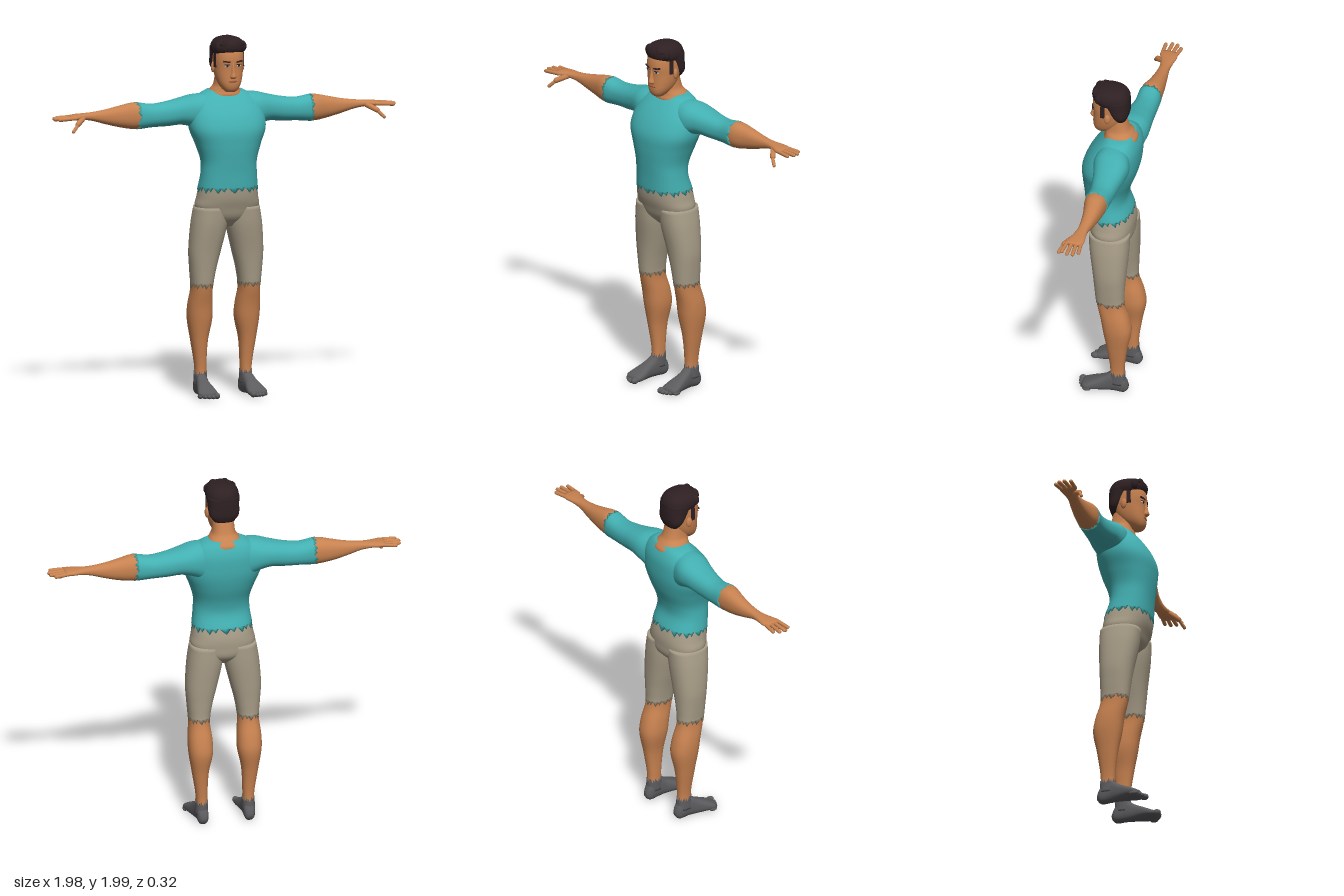
import * as THREE from 'three';

const mat = (name, color) => {
  const m = new THREE.MeshStandardMaterial({ color });
  m.name = name;
  return m;
};

// Cubic interpolation of the rows [t, aMin, aMax, bMin, bMax] at t
function sample(rows, t) {
  let i = 0;
  while (i < rows.length - 2 && t > rows[i + 1][0]) i++;
  const p = rows[i], q = rows[i + 1], h = q[0] - p[0];
  const u = Math.min(1, Math.max(0, (t - p[0]) / h));
  const slope = (k, c) => {
    const a = rows[Math.max(0, k - 1)], b = rows[Math.min(rows.length - 1, k + 1)];
    return (b[c] - a[c]) / (b[0] - a[0]);
  };
  return [1, 2, 3, 4].map((c) => {
    const u2 = u * u, u3 = u2 * u;
    return p[c] * (2 * u3 - 3 * u2 + 1) + q[c] * (3 * u2 - 2 * u3)
      + h * (slope(i, c) * (u3 - 2 * u2 + u) + slope(i + 1, c) * (u3 - u2));
  });
}

// Position of (t, a, b) for each loft axis
const place = {
  x: (t, a, b) => [t, b, a],
  y: (t, a, b) => [a, t, b],
  z: (t, a, b) => [b, a, t],
};

// Smooth closed loft through superellipse sections; teeth make ragged cloth edges
function loft(axis, rows, { from = rows[0][0], to = rows.at(-1)[0], steps = 24, seg = 40,
  power = 2.3, grow = 0, teethLow = 0, teethHigh = 0 } = {}) {
  const pos = [], idx = [];
  const round = (v) => Math.sign(v) * Math.abs(v) ** (2 / power);
  for (let i = 0; i <= steps; i++) {
    for (let j = 0; j < seg; j++) {
      let t = from + (to - from) * i / steps;
      const tooth = ((j * 7) % 5) / 4 - 0.5;
      if (i === 0) t += teethLow * tooth;
      if (i === steps) t += teethHigh * tooth;
      const [a0, a1, b0, b1] = sample(rows, t), th = j / seg * Math.PI * 2;
      const a = (a0 + a1) / 2 + ((a1 - a0) / 2 + grow) * round(Math.cos(th));
      const b = (b0 + b1) / 2 + ((b1 - b0) / 2 + grow) * round(Math.sin(th));
      pos.push(...place[axis](t, a, b));
      if (i < steps) {
        const k = i * seg, n = (j + 1) % seg;
        idx.push(k + j, k + seg + j, k + seg + n, k + j, k + seg + n, k + n);
      }
    }
  }
  for (const [t, k, flip] of [[from, 0, false], [to, steps * seg, true]]) {
    const [a0, a1, b0, b1] = sample(rows, t), c = pos.length / 3;
    pos.push(...place[axis](t, (a0 + a1) / 2, (b0 + b1) / 2));
    for (let j = 0; j < seg; j++) {
      const p = k + j, n = k + (j + 1) % seg;
      idx.push(c, flip ? n : p, flip ? p : n);
    }
  }
  const g = new THREE.BufferGeometry();
  g.setAttribute('position', new THREE.Float32BufferAttribute(pos, 3));
  g.setIndex(idx);
  g.computeVertexNormals();
  return g;
}

function mirrored(geo) {
  const g = geo.clone().scale(-1, 1, 1), ix = g.index.array;
  for (let i = 0; i < ix.length; i += 3) [ix[i], ix[i + 1]] = [ix[i + 1], ix[i]];
  g.computeVertexNormals();
  return g;
}

const blob = (x, y, z, rx, ry, rz, turn = 0) =>
  new THREE.SphereGeometry(1, 18, 12).scale(rx, ry, rz).rotateY(turn).translate(x, y, z);

// Rounded rod between two points
function rod(p, q, r) {
  const a = new THREE.Vector3(...p), b = new THREE.Vector3(...q), d = b.clone().sub(a);
  const turn = new THREE.Quaternion().setFromUnitVectors(new THREE.Vector3(0, 1, 0), d.clone().normalize());
  return new THREE.CapsuleGeometry(r, d.length(), 5, 12).applyQuaternion(turn)
    .translate(...a.add(b).multiplyScalar(0.5).toArray());
}

const TORSO = [
  [0.94, -0.03, 0.03, -0.07, 0.04], [0.99, -0.14, 0.14, -0.118, 0.088],
  [1.05, -0.18, 0.18, -0.126, 0.11], [1.1, -0.172, 0.172, -0.126, 0.126],
  [1.16, -0.163, 0.163, -0.112, 0.133], [1.24, -0.153, 0.153, -0.087, 0.138],
  [1.31, -0.153, 0.153, -0.097, 0.145], [1.4, -0.18, 0.18, -0.13, 0.153],
  [1.48, -0.21, 0.21, -0.15, 0.152], [1.55, -0.21, 0.21, -0.156, 0.125],
  [1.61, -0.19, 0.19, -0.154, 0.085], [1.66, -0.15, 0.15, -0.138, 0.04],
  [1.69, -0.095, 0.095, -0.12, 0.01],
];
const LEG = [
  [0.05, 0.1, 0.165, -0.115, -0.025], [0.15, 0.1, 0.163, -0.11, -0.03],
  [0.3, 0.093, 0.185, -0.128, -0.012], [0.42, 0.07, 0.203, -0.15, 0.01],
  [0.5, 0.071, 0.204, -0.138, 0.022], [0.6, 0.08, 0.195, -0.108, 0.045],
  [0.7, 0.065, 0.202, -0.108, 0.056], [0.8, 0.04, 0.208, -0.114, 0.068],
  [0.95, 0.006, 0.197, -0.122, 0.092], [1.05, 0, 0.18, -0.122, 0.1],
];
const ARM = [
  [0.1, -0.13, 0.05, 1.44, 1.67], [0.18, -0.148, 0.05, 1.485, 1.667],
  [0.25, -0.145, 0.03, 1.505, 1.65], [0.33, -0.135, 0.012, 1.5, 1.632],
  [0.42, -0.128, 0, 1.497, 1.622], [0.52, -0.122, 0, 1.49, 1.636],
  [0.6, -0.115, -0.018, 1.502, 1.622], [0.68, -0.105, -0.03, 1.522, 1.605],
  [0.76, -0.095, -0.035, 1.545, 1.594], [0.82, -0.1, -0.025, 1.555, 1.59],
  [0.86, -0.105, -0.01, 1.555, 1.588], [0.9, -0.1, -0.004, 1.558, 1.583],
];
const FOOT = [
  [-0.13, 0.02, 0.05, 0.115, 0.145], [-0.112, 0, 0.09, 0.101, 0.16],
  [-0.05, 0, 0.125, 0.1, 0.165], [0, 0, 0.096, 0.1, 0.176],
  [0.06, 0, 0.066, 0.09, 0.192], [0.1, 0, 0.046, 0.088, 0.198], [0.125, 0.004, 0.034, 0.095, 0.18],
];
const NECK = [
  [1.63, -0.1, 0.1, -0.14, 0.03], [1.665, -0.098, 0.098, -0.142, 0.042],
  [1.69, -0.085, 0.085, -0.124, 0.036], [1.72, -0.065, 0.065, -0.1, 0.038], [1.8, -0.06, 0.06, -0.075, 0.045],
];
const HEAD = [
  [1.688, -0.025, 0.025, 0.03, 0.08], [1.7, -0.04, 0.04, 0.01, 0.095], [1.73, -0.06, 0.06, -0.03, 0.104],
  [1.77, -0.073, 0.073, -0.06, 0.104], [1.82, -0.08, 0.08, -0.08, 0.104], [1.87, -0.083, 0.083, -0.09, 0.108],
  [1.92, -0.079, 0.079, -0.088, 0.099], [1.96, -0.06, 0.06, -0.07, 0.075],
];
const NOSE = [
  [1.764, -0.012, 0.012, 0.085, 0.108], [1.774, -0.018, 0.018, 0.08, 0.124],
  [1.8, -0.012, 0.012, 0.08, 0.119], [1.855, -0.009, 0.009, 0.08, 0.108],
];
const HAIR_TOP = [
  [1.9, -0.085, 0.085, -0.096, 0.094], [1.925, -0.091, 0.091, -0.099, 0.108],
  [1.955, -0.085, 0.085, -0.09, 0.108], [1.98, -0.062, 0.062, -0.066, 0.085], [1.992, -0.025, 0.025, -0.025, 0.04],
];
const HAIR_BACK = [
  [1.79, -0.055, 0.055, -0.085, -0.03], [1.825, -0.081, 0.081, -0.097, -0.008],
  [1.88, -0.087, 0.087, -0.1, 0.035], [1.93, -0.09, 0.09, -0.098, 0.06],
];

export function createModel() {
  const model = new THREE.Group();
  const skin = mat('skin', 0xc88250), shirt = mat('teal shirt', 0x43b0b2), shorts = mat('beige shorts', 0xa79c87);
  const sock = mat('grey socks', 0x5c5c5f), hair = mat('dark brown hair', 0x2e2023);
  const white = mat('eye white', 0xd8cec4), lip = mat('lips', 0x9c5a3c);
  const add = (name, geo, m) => {
    const mesh = new THREE.Mesh(geo, m);
    mesh.name = name;
    model.add(mesh);
  };
  const pair = (name, geo, m) => {
    add('left ' + name, geo, m);
    add('right ' + name, mirrored(geo), m);
  };

  // Torso and clothes
  add('shirt body', loft('y', TORSO, { from: 1.15, steps: 36, seg: 60, grow: 0.003, teethLow: 0.035 }), shirt);
  add('shorts waist', loft('y', TORSO, { to: 1.19, steps: 20, seg: 48 }), shorts);
  pair('sleeve', loft('x', ARM, { to: 0.505, steps: 28, grow: 0.002, teethHigh: 0.02 }), shirt);
  pair('shorts leg', loft('y', LEG, { from: 0.61, steps: 24, grow: 0.002, teethLow: 0.03 }), shorts);

  // Limbs
  pair('forearm and palm', loft('x', ARM, { from: 0.47, steps: 30 }), skin);
  pair('lower leg', loft('y', LEG, { from: 0.08, to: 0.66, steps: 32 }), skin);
  const tips = [[0.955, -0.1], [0.978, -0.073], [0.982, -0.042], [0.968, -0.008]];
  tips.forEach(([x, z], i) =>
    pair('finger ' + (i + 1), rod([0.87, 1.571, -0.09 + i * 0.025], [x, 1.566, z], 0.0105), skin));
  pair('thumb base', rod([0.82, 1.568, -0.04], [0.868, 1.54, 0.008], 0.015), skin);
  pair('thumb tip', rod([0.865, 1.542, 0.008], [0.902, 1.503, 0.03], 0.0095), skin);

  // Feet
  pair('foot', loft('z', FOOT, { steps: 24, power: 2.5 }), sock);
  pair('sock cuff', loft('y', LEG, { from: 0.055, to: 0.12, steps: 6, grow: 0.003, teethHigh: 0.03 }), sock);
  for (let i = 0; i < 5; i++) {
    const r = i ? 0.0125 : 0.018;
    pair('toe ' + (i + 1), blob(0.106 + i * 0.0205, r, 0.132 - i * i * 0.0025, r, r, 0.024), sock);
  }

  // Head and face
  add('neck', loft('y', NECK, { teethLow: 0.02 }), skin);
  add('head', loft('y', HEAD, { steps: 32 }), skin);
  add('nose', loft('y', NOSE, { seg: 20, power: 2 }), skin);
  pair('ear', blob(0.084, 1.822, 0.004, 0.011, 0.03, 0.018, 0.3), skin);
  pair('eye', blob(0.034, 1.836, 0.098, 0.015, 0.0065, 0.005, 0.3), white);
  pair('iris', blob(0.033, 1.837, 0.102, 0.0062, 0.0062, 0.0025, 0.3), hair);
  pair('upper eyelid', blob(0.034, 1.843, 0.1, 0.017, 0.0028, 0.005, 0.3), hair);
  pair('eyebrow', new THREE.BoxGeometry(0.04, 0.008, 0.009).rotateZ(0.13).rotateY(0.3).translate(0.036, 1.86, 0.1), hair);
  add('mouth', blob(0, 1.75, 0.102, 0.026, 0.0055, 0.005), lip);

  // Hair: cap, back, sideburns and wavy locks
  add('hair cap', loft('y', HAIR_TOP, { steps: 18 }), hair);
  add('hair back', loft('y', HAIR_BACK, { steps: 18 }), hair);
  pair('sideburn', new THREE.BoxGeometry(0.008, 0.075, 0.024).rotateY(-0.1).translate(0.081, 1.862, 0.032), hair);
  for (let i = 0; i < 5; i++) {
    const x = (i - 2) * 0.033;
    add('front lock ' + (i + 1), blob(x, 1.938 + (i % 2) * 0.012, 0.09 - x * x * 7, 0.025, 0.032, 0.022), hair);
    add('top lock ' + (i + 1), blob(x * 0.85, 1.967 - x * x * 3 + (i % 2) * 0.004, 0.03, 0.022, 0.021, 0.065), hair);
  }
  return model;
}
